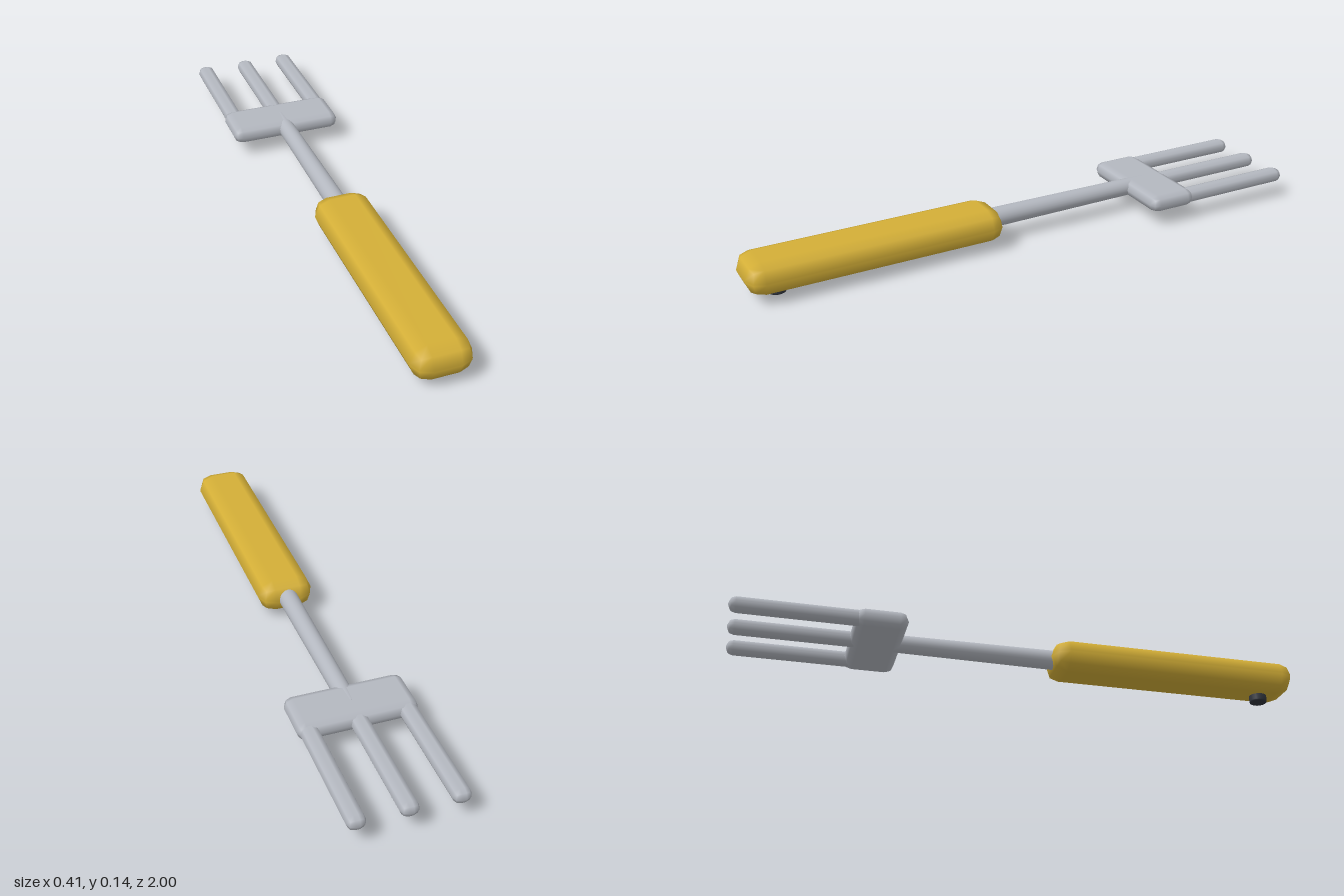
import * as THREE from 'three';
import { RoundedBoxGeometry } from 'three/addons/geometries/RoundedBoxGeometry.js';

const AXIS_Y = 0.083;

function material(name, color) {
  const m = new THREE.MeshStandardMaterial({ color });
  m.name = name;
  return m;
}

export function createModel() {
  const model = new THREE.Group();
  model.name = 'handFork';

  const yellow = material('handleYellow', 0xd4af37);
  const steel = material('steelGrey', 0xb4b8c0);
  const dark = material('darkRubber', 0x2f333b);

  function add(name, geometry, mat, x, y, z) {
    const mesh = new THREE.Mesh(geometry, mat);
    mesh.name = name;
    mesh.position.set(x, y, z);
    model.add(mesh);
    return mesh;
  }

  // Rounded bar spanning z0..z1, with one soft bevel step on each edge
  function bar(name, mat, x, width, height, z0, z1, radius) {
    const geometry = new RoundedBoxGeometry(width, height, z1 - z0, 1, radius);
    return add(name, geometry, mat, x, AXIS_Y, (z0 + z1) / 2);
  }

  // Grip
  bar('handle', yellow, 0, 0.197, 0.114, 0.104, 1, 0.054);

  // Shaft, slightly tapered towards the head
  const shaft = new THREE.CylinderGeometry(0.0345, 0.03, 0.68, 24);
  shaft.rotateX(Math.PI / 2);
  add('shaft', shaft, steel, 0, AXIS_Y + 0.001, -0.17);

  // Crosspiece and three tines
  bar('crosspiece', steel, 0, 0.406, 0.061, -0.597, -0.42, 0.03);
  [-0.164, 0, 0.164].forEach((x, i) => {
    bar(['rightTine', 'middleTine', 'leftTine'][i], steel, x, 0.062, 0.05, -1, -0.53, 0.024);
  });

  // Round stud under the end of the grip
  const profile = [[0, 0], [0.026, 0], [0.0295, 0.002], [0.031, 0.006], [0.031, 0.05], [0, 0.05]]
    .map(([r, y]) => new THREE.Vector2(r, y));
  add('stud', new THREE.LatheGeometry(profile, 20), dark, 0, 0, 0.889);

  return model;
}
